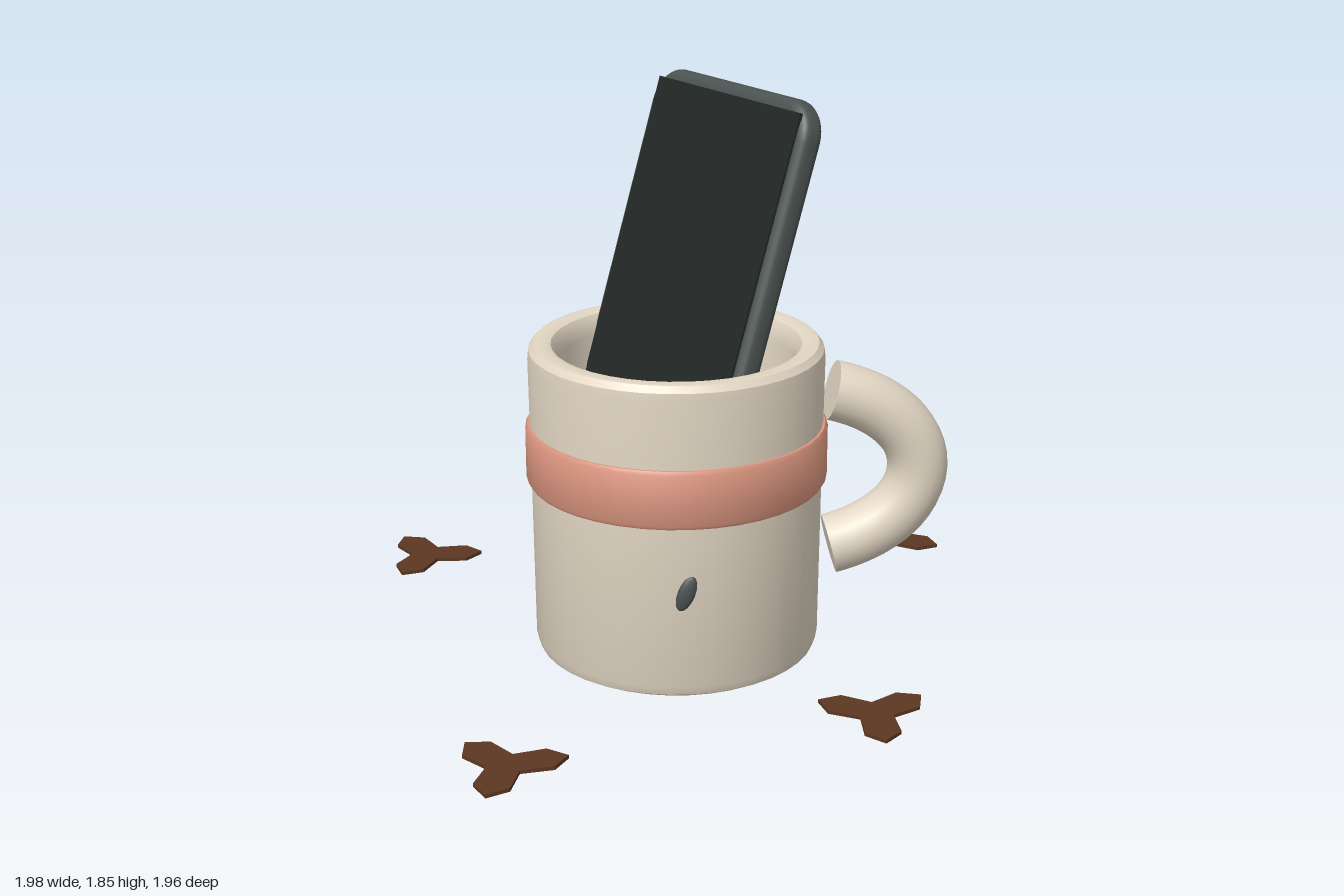
import * as THREE from 'three';
import { toCreasedNormals } from 'three/addons/utils/BufferGeometryUtils.js';

const mat = (color, extra = {}) => new THREE.MeshStandardMaterial({ color, ...extra });
const cream = mat(0xe2d6c3);
const pink = mat(0xdd9780);
const slate = mat(0x4a5351);
const black = mat(0x222726);
const brown = mat(0x5c3721);

function add(parent, name, geometry, material) {
  const mesh = new THREE.Mesh(geometry, material);
  mesh.name = name;
  parent.add(mesh);
  return mesh;
}

function lathe(points, segments = 40) {
  const profile = points.map(([r, y]) => new THREE.Vector2(r, y));
  return toCreasedNormals(new THREE.LatheGeometry(profile, segments), 0.6);
}

function roundedRect(w, h, r) {
  const s = new THREE.Shape();
  s.absarc(w / 2 - r, h / 2 - r, r, 0, Math.PI / 2);
  s.absarc(-w / 2 + r, h / 2 - r, r, Math.PI / 2, Math.PI);
  s.absarc(-w / 2 + r, -h / 2 + r, r, Math.PI, Math.PI * 1.5);
  s.absarc(w / 2 - r, -h / 2 + r, r, Math.PI * 1.5, Math.PI * 2);
  s.closePath();
  return s;
}

function createMug() {
  const mug = new THREE.Group();
  mug.name = 'mug';
  mug.position.set(-0.03, 0, -0.06);

  // Hollow body with a bevelled foot and rounded rim
  add(mug, 'body', lathe([
    [0, 0], [0.435, 0], [0.46, 0.015], [0.47, 0.045], [0.475, 0.6], [0.48, 1.0],
    [0.477, 1.03], [0.46, 1.05], [0.43, 1.053], [0.405, 1.045], [0.39, 1.02],
    [0.385, 0.98], [0.375, 0.1], [0, 0.1],
  ]), cream);

  // Raised band around the middle
  add(mug, 'band', lathe([
    [0.47, 0.59], [0.485, 0.59], [0.492, 0.602], [0.492, 0.77], [0.485, 0.782], [0.47, 0.782],
  ]), pink);

  // Coffee surface
  const coffee = add(mug, 'coffee', new THREE.CircleGeometry(0.382, 40), brown);
  coffee.rotation.x = -Math.PI / 2;
  coffee.position.y = 0.3;

  // Curved handle with closed ends
  const curve = new THREE.CubicBezierCurve3(
    new THREE.Vector3(0.51, 0.862, 0), new THREE.Vector3(0.9, 0.766, 0),
    new THREE.Vector3(0.9, 0.414, 0), new THREE.Vector3(0.51, 0.318, 0),
  );
  add(mug, 'handle', new THREE.TubeGeometry(curve, 28, 0.1, 18), cream);
  for (const t of [0, 1]) {
    const cap = add(mug, 'handleEnd', new THREE.CircleGeometry(0.1, 18), cream);
    const p = curve.getPoint(t);
    cap.position.copy(p);
    const outward = curve.getTangent(t).multiplyScalar(t ? 1 : -1);
    cap.quaternion.setFromUnitVectors(new THREE.Vector3(0, 0, 1), outward);
  }

  // Small tilted flecks on the wall
  for (const [angle, tilt] of [[-0.03, -0.35], [-Math.PI * 2 / 3, 0.35]]) {
    const pivot = new THREE.Group();
    pivot.name = 'fleckPivot';
    pivot.rotation.y = angle;
    mug.add(pivot);
    const fleck = add(pivot, 'fleck', new THREE.SphereGeometry(1, 10, 8), slate);
    fleck.scale.set(0.028, 0.062, 0.014);
    fleck.position.set(0, 0.37, 0.472);
    fleck.rotation.z = tilt;
  }
  return mug;
}

function createPhone() {
  const phone = new THREE.Group();
  phone.name = 'phone';
  phone.position.set(-0.03, 1.05, -0.06);
  phone.rotation.set(-0.312, -Math.PI / 3, 0, 'YXZ');

  // Case with rounded corners and edges
  const w = 0.81, h = 1.62, d = 0.085, b = 0.03;
  const shell = new THREE.ExtrudeGeometry(roundedRect(w - 2 * b, h - 2 * b, 0.09), {
    depth: d - 2 * b, bevelThickness: b, bevelSize: b, bevelSegments: 4, curveSegments: 6,
  });
  shell.translate(0, 0.03, -d / 2 + b);
  add(phone, 'case', toCreasedNormals(shell, 0.7), slate);

  // Thin screen panel on the front
  const screen = add(phone, 'screen', new THREE.BoxGeometry(0.74, 1.54, 0.012), black);
  screen.position.set(0, 0.03, d / 2 + 0.002);
  return phone;
}

// Flat three-lobed piece: one lobe outline repeated three times
function lobedGeometry() {
  const lobe = [[0.05, -0.055], [0.135, -0.057], [0.19, 0], [0.135, 0.057], [0.05, 0.055]];
  const points = [];
  for (let i = 0; i < 3; i++) {
    const a = (i * Math.PI * 2) / 3;
    for (const [x, y] of lobe.slice(1)) {
      points.push(new THREE.Vector2(x, y).rotateAround(new THREE.Vector2(), a));
    }
    // Notch between neighbouring lobes
    points[points.length - 1] = new THREE.Vector2(0.06, 0).rotateAround(new THREE.Vector2(), a + Math.PI / 3);
    points.splice(points.length - 1, 0,
      new THREE.Vector2(0.135, 0.057).rotateAround(new THREE.Vector2(), a));
  }
  const geometry = new THREE.ExtrudeGeometry(new THREE.Shape(points), { depth: 0.012, bevelEnabled: false });
  return geometry.rotateX(-Math.PI / 2);
}

export function createModel() {
  const model = new THREE.Group();
  model.name = 'mugWithPhone';
  model.add(createMug(), createPhone());

  // Pieces scattered on the ground: x, z, turn
  const geometry = lobedGeometry();
  const spots = [
    [0.53, 0.58, -Math.PI / 2], [0.83, -0.79, Math.PI / 2],
    [-0.87, -0.8, 0], [-0.62, 0.8, 0.18],
  ];
  for (const [x, z, turn] of spots) {
    const piece = add(model, 'groundPiece', geometry, brown);
    piece.position.set(x, 0.01, z);
    piece.rotation.y = turn;
  }
  return model;
}
